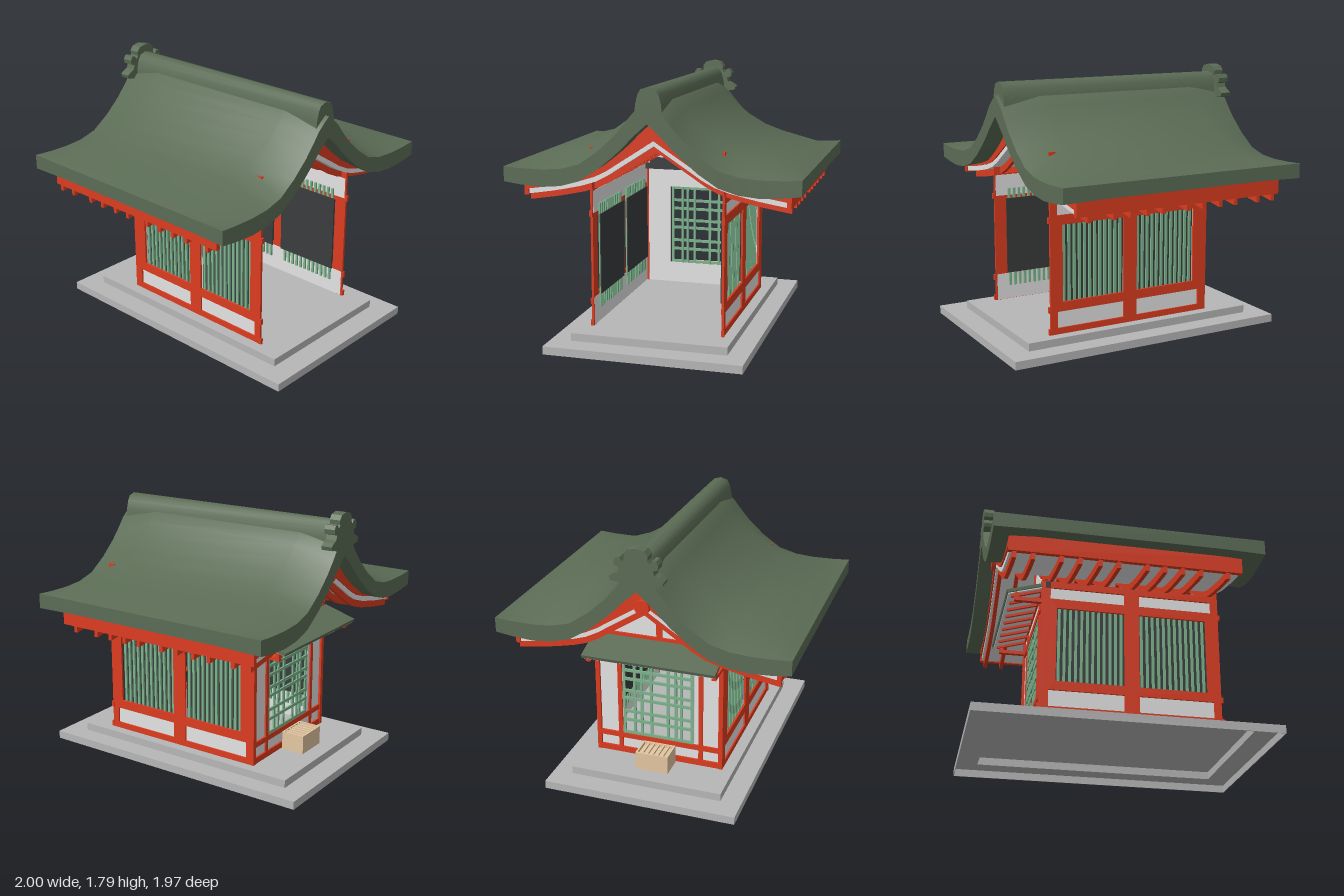
import * as THREE from 'three';
import { toCreasedNormals } from 'three/addons/utils/BufferGeometryUtils.js';

const mat = (name, color) => {
  const m = new THREE.MeshStandardMaterial({ color });
  m.name = name;
  return m;
};

export function createModel() {
  const root = new THREE.Group();
  root.name = 'shrine';
  const roofGreen = mat('roofGreen', 0x5b6c55);
  const red = mat('vermilion', 0xdc3c20);
  const white = mat('plaster', 0xe4e4e4);
  const stone = mat('stone', 0xb7b7b7);
  const lattice = mat('latticeGreen', 0x7db48d);
  const dark = mat('dark', 0x3a3c3d);
  const wood = mat('paleWood', 0xe4c7a2);

  const add = (name, geo, m, parent = root) => {
    const mesh = new THREE.Mesh(geo, m);
    mesh.name = name;
    parent.add(mesh);
    return mesh;
  };
  // box given by its limits on each axis
  const box = (name, m, x0, x1, y0, y1, z0, z1, parent = root) => {
    const b = add(name, new THREE.BoxGeometry(x1 - x0, y1 - y0, Math.abs(z1 - z0)), m, parent);
    b.position.set((x0 + x1) / 2, (y0 + y1) / 2, (z0 + z1) / 2);
    return b;
  };
  const rect = (P, x0, x1, y0, y1) =>
    new P().moveTo(x0, y0).lineTo(x1, y0).lineTo(x1, y1).lineTo(x0, y1).closePath();
  const extrude = (shape, depth) => new THREE.ExtrudeGeometry(shape, { depth, bevelEnabled: false });
  const alongX = (shape, depth, x) => extrude(shape, depth).rotateY(-Math.PI / 2).translate(x, 0, 0);
  const poly = (pts) => new THREE.Shape(pts.map((p) => new THREE.Vector2(...p)));

  // half profile [z, y] from eave to ridge, smoothed and mirrored
  const profile = (pts) => {
    const half = new THREE.SplineCurve(pts.map((p) => new THREE.Vector2(...p))).getPoints(10);
    return [...half, ...half.slice(0, -1).reverse().map((p) => new THREE.Vector2(-p.x, p.y))];
  };
  const lift = (pts, d) => pts.map(([z, y]) => [z, y + d]);

  // closed slab lofted along x through stations {x, top, bot}
  const slab = (stations) => {
    const pos = [];
    const quad = (a, b, c, d) => pos.push(...a, ...b, ...c, ...a, ...c, ...d);
    const rings = stations.map(({ x, top, bot }) =>
      [...top, ...[...bot].reverse()].map((p) => [x, p.y, p.x]));
    const n = rings[0].length;
    for (let s = 0; s < rings.length - 1; s++) {
      const a = rings[s], b = rings[s + 1];
      for (let i = 0; i < n; i++) {
        const j = (i + 1) % n;
        quad(a[i], b[i], b[j], a[j]);
      }
    }
    const first = rings[0], last = rings[rings.length - 1];
    for (let i = 0; i < n / 2 - 1; i++) {
      const k = n - 1 - i;
      quad(last[i], last[k], last[k - 1], last[i + 1]);
      quad(first[i], first[i + 1], first[k - 1], first[k]);
    }
    const g = new THREE.BufferGeometry();
    g.setAttribute('position', new THREE.Float32BufferAttribute(pos, 3));
    return toCreasedNormals(g, 0.45);
  };
  const strip = (x0, x1, top, bot) => slab([x0, x1].map((x) => ({ x, top, bot })));

  // stone platform: two hollow steps, open underneath
  const flat = (name, shape, depth, y) =>
    add(name, extrude(shape, depth).rotateX(-Math.PI / 2).translate(0, y, 0), stone);
  const step = (x0, x1, z0, z1, y0, y1, opening) => {
    const skirt = rect(THREE.Shape, x0, x1, -z1, -z0), top = skirt.clone();
    skirt.holes.push(rect(THREE.Path, x0 + 0.004, x1 - 0.004, -z1 + 0.004, -z0 - 0.004));
    if (opening) top.holes.push(opening);
    flat('platformSkirt', skirt, y1 - y0 - 0.003, y0);
    flat('platformTop', top, 0.003, y1 - 0.003);
  };
  step(-1, 1, -0.67, 0.665, 0, 0.055, rect(THREE.Path, -0.846, 0.841, -0.521, 0.531));
  step(-0.85, 0.845, -0.535, 0.525, 0.055, 0.108);

  // swept roof with verges that dip toward both ends
  const mid = {
    top: profile([[0.985, 1.2], [0.72, 1.265], [0.46, 1.345], [0.22, 1.5], [0.1, 1.63], [0, 1.68]]),
    bot: profile([[0.985, 1.107], [0.72, 1.1], [0.46, 1.15], [0.22, 1.31], [0.1, 1.42], [0, 1.51]]),
  };
  const end = {
    top: profile([[0.985, 1.2], [0.72, 1.19], [0.46, 1.235], [0.22, 1.425], [0.1, 1.57], [0, 1.65]]),
    bot: profile([[0.985, 1.1], [0.72, 1.075], [0.46, 1.125], [0.22, 1.3], [0.1, 1.42], [0, 1.51]]),
  };
  add('roof', slab([
    { x: -0.945, ...end }, { x: -0.66, ...mid }, { x: 0.53, ...mid }, { x: 0.817, ...end },
  ]), roofGreen);

  // ridge beam and end ornament
  const ridgeHalf = [[0.09, 1.57], [0.085, 1.63], [0.07, 1.69], [0.05, 1.725], [0, 1.74]];
  const mirrored = (half) => poly([...half, ...half.slice(0, -1).reverse().map(([z, y]) => [-z, y])]);
  add('ridge', toCreasedNormals(alongX(mirrored(ridgeHalf), 1.66, 0.79), 0.8), roofGreen);
  add('ridgeOrnament', alongX(mirrored([[0.08, 1.545], [0.13, 1.565], [0.17, 1.57], [0.178, 1.595],
    [0.15, 1.615], [0.12, 1.63], [0.11, 1.66], [0.14, 1.67], [0.145, 1.7], [0.13, 1.725], [0.105, 1.725],
    [0.09, 1.7], [0.075, 1.72], [0.078, 1.75], [0.055, 1.78], [0, 1.792]]), 0.075, -0.87), roofGreen);

  // rafters, soffit, bargeboards and eave fascias
  const under = [[0.89, 0.945], [0.65, 0.985], [0.4, 1.05], [0.2, 1.17], [0, 1.3]];
  const rBot = profile(under), rTop = profile(lift(under, 0.05)), sTop = profile(lift(under, 0.085));
  const bTop = profile([[0.89, 1.09], [0.65, 1.095], [0.4, 1.19], [0.2, 1.335], [0, 1.515]]);
  for (const x of [-0.8, -0.68, -0.5, -0.38, -0.25, -0.13, 0.055, 0.17, 0.29, 0.41, 0.59]) {
    add('rafter', strip(x - 0.013, x + 0.013, rTop, rBot), red);
  }
  add('soffit', strip(-0.83, 0.675, sTop, rTop), white);
  for (const x of [-0.84, 0.655]) add('bargeboard', strip(x, x + 0.03, bTop, sTop), red);
  for (const s of [1, -1]) box('eaveFascia', red, -0.84, 0.685, 0.99, 1.108, s * 0.87, s * 0.9);
  const boss = add('gableBoss', new THREE.CylinderGeometry(0.05, 0.05, 0.03, 16).rotateZ(Math.PI / 2), red);
  boss.position.set(-0.85, 1.37, 0);

  // long side walls, set slightly to the rear
  const walls = new THREE.Group();
  walls.name = 'sideWalls';
  walls.position.z = -0.008;
  root.add(walls);
  const bays = [[-0.5, 0, -0.455, 0], [0.1, 0.6, 0.1, 0.56]];
  for (const s of [1, -1]) {
    const frame = rect(THREE.Shape, -0.56, 0.65, 0.108, 1.04);
    for (const [a, b, c, d] of bays) {
      frame.holes.push(rect(THREE.Path, a, b, 0.15, 0.262), rect(THREE.Path, c, d, 0.325, 0.845),
        rect(THREE.Path, a, b, 0.91, 0.99));
    }
    add('sideFrame', extrude(frame, 0.014), red, walls).position.z = s > 0 ? 0.442 : -0.456;
    box('lowerPanel', white, -0.55, 0.64, 0.11, 0.3, s * 0.439, s * 0.445, walls);
    box('upperPanel', white, -0.55, 0.64, 0.88, 1.03, s * 0.439, s * 0.445, walls);
    for (const y of [0.13, 0.28, 0.88]) {
      box('railEnd', red, 0.64, 0.662, y - 0.02, y + 0.02, s * 0.44, s * 0.46, walls);
    }
    for (const [, , c, d] of bays) {
      box('shutter', dark, c - 0.01, d + 0.01, 0.31, 0.86, s * 0.414, s * 0.421, walls);
      for (let i = 0; i < 12; i++) {
        const x = c + (i + 0.5) * (d - c) / 12;
        box('windowBar', lattice, x - 0.0085, x + 0.0085, 0.21, 0.93, s * 0.425, s * 0.438, walls);
      }
    }
    box('cornerPost', red, 0.605, 0.65, 0.108, 1.325, s * 0.44, s * 0.454, walls);
  }

  // entrance wall with gable
  const wall = poly([[-0.445, 0.108], [0.43, 0.108], [0.43, 1.04], [0.4, 1.06], [0.2, 1.18], [0, 1.32],
    [-0.2, 1.18], [-0.4, 1.06], [-0.445, 1.04]]);
  wall.holes.push(rect(THREE.Path, -0.27, 0.245, 0.262, 0.855));
  add('entranceWall', alongX(wall, 0.01, -0.535), white);
  box('tieBeam', dark, -0.535, -0.5, 0.99, 1.03, -0.46, 0.455);
  box('upperTieBeam', dark, -0.535, -0.51, 1.03, 1.075, -0.4, 0.4);

  // entrance lattice
  for (const z of [0.225, 0.15, 0.11, 0.055, -0.065, -0.135, -0.185, -0.262]) {
    box('latticeUpright', lattice, -0.55, -0.538, 0.262, 0.855, z - 0.009, z + 0.009);
  }
  for (const y of [0.272, 0.37, 0.437, 0.537, 0.595, 0.685, 0.75, 0.845]) {
    box('latticeRail', lattice, -0.553, -0.541, y - 0.01, y + 0.01, -0.27, 0.235);
  }

  // entrance timbers
  for (const s of [1, -1]) {
    box('entranceCornerPost', red, -0.562, -0.53, 0.108, 1.04, s * 0.425 - 0.008, s * 0.456 - 0.008);
    box('doorPost', red, -0.556, -0.54, 0.108, 0.97, s * 0.275, s * 0.305);
    box('canopyBracket', red, -0.74, -0.54, 0.875, 0.9, s * 0.42, s * 0.45);
    box('bracketBlock', red, -0.74, -0.71, 0.9, 0.935, s * 0.42, s * 0.45);
  }
  for (const [y0, y1] of [[0.108, 0.15], [0.225, 0.262], [0.855, 0.9], [0.98, 1.03]]) {
    box('entranceBeam', red, -0.558, -0.54, y0, y1, -0.455, 0.44);
  }
  box('gablePost', red, -0.555, -0.54, 1.03, 1.31, -0.02, 0.02);

  // sloping canopy over the entrance
  const canopy = new THREE.Group();
  canopy.name = 'canopy';
  canopy.position.set(-0.675, 0.965, 0);
  canopy.rotation.z = 0.29;
  root.add(canopy);
  add('canopyRoof', new THREE.BoxGeometry(0.24, 0.022, 0.92), roofGreen, canopy);
  add('canopySoffit', new THREE.BoxGeometry(0.23, 0.008, 0.9), white, canopy).position.y = -0.014;
  for (let i = 0; i < 9; i++) {
    add('canopyRafter', new THREE.BoxGeometry(0.21, 0.018, 0.018), red, canopy)
      .position.set(0.01, -0.026, -0.42 + i * 0.105);
  }

  // slatted offering box
  box('offeringBox', wood, -0.735, -0.57, 0.108, 0.215, -0.115, 0.115);
  for (const x of [-0.735, -0.582]) box('boxRim', wood, x, x + 0.012, 0.215, 0.237, -0.115, 0.115);
  for (const z of [-0.115, 0.103]) box('boxRim', wood, -0.735, -0.57, 0.215, 0.237, z, z + 0.012);
  for (let i = 0; i < 5; i++) {
    const z = -0.072 + i * 0.036;
    box('boxSlat', wood, -0.73, -0.575, 0.22, 0.234, z - 0.007, z + 0.007);
  }
  return root;
}
